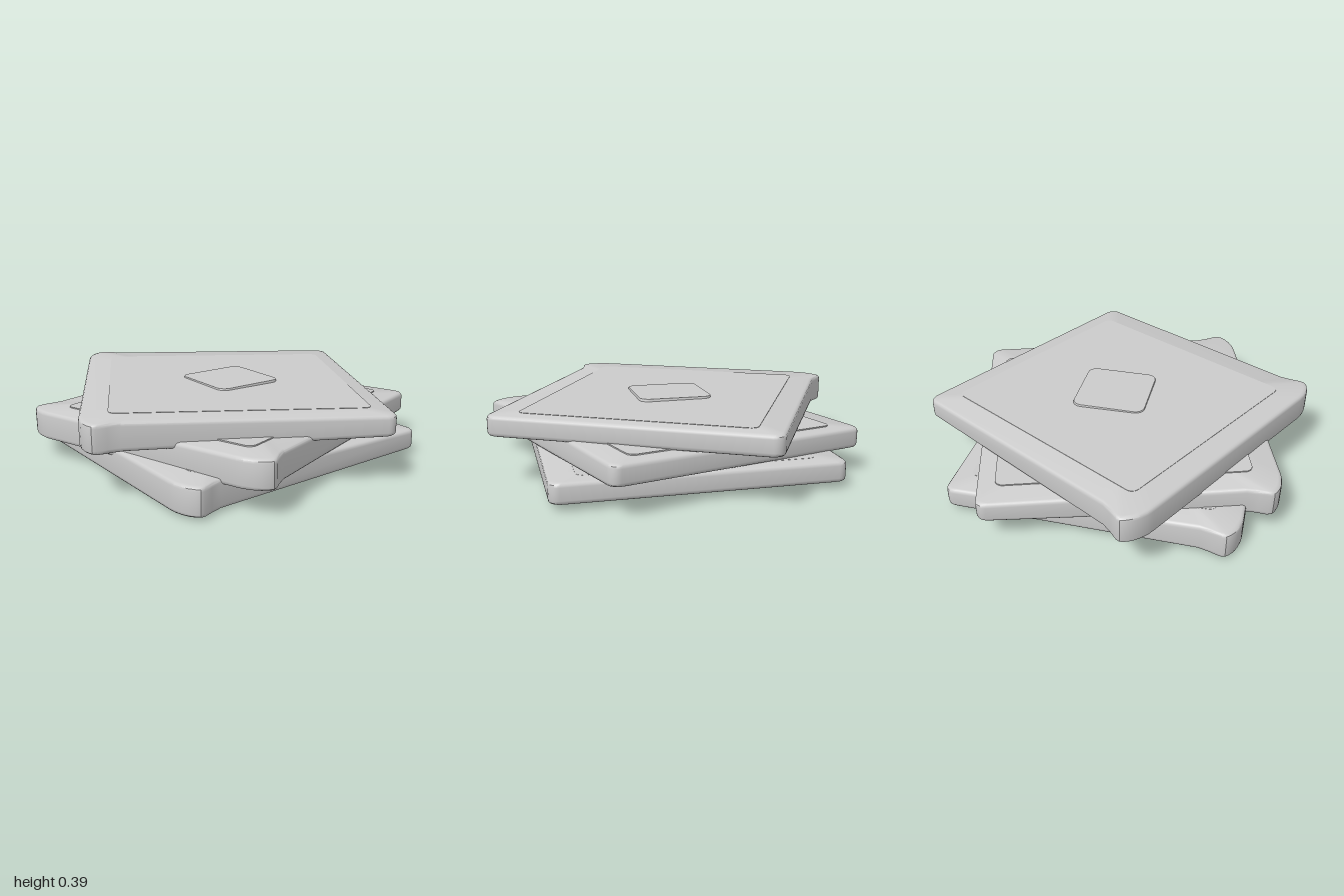
import * as THREE from 'three';
import { toCreasedNormals } from 'three/addons/utils/BufferGeometryUtils.js';

const material = new THREE.MeshStandardMaterial({ color: 0xcccccc });

// Slabs are wedges: half the thickness shrinks from left to right
const halfThickness = (x) => 0.0645 - 0.0147 * x;

// Rounded rectangle outline as [x, z] points
function roundedOutline(x0, x1, z0, z1, r, steps = 6) {
  const points = [];
  const corners = [[x1 - r, z1 - r], [x0 + r, z1 - r], [x0 + r, z0 + r], [x1 - r, z0 + r]];
  corners.forEach(([cx, cz], i) => {
    for (let k = 0; k <= steps; k++) {
      const a = (i + k / steps) * Math.PI / 2;
      points.push([cx + r * Math.cos(a), cz + r * Math.sin(a)]);
    }
  });
  return points;
}

// Slab outline: plain round corners on the right, flared ones on the left
function slabOutline() {
  const zc = 0.01;
  const flare = [[-0.57, 0.735], [-0.63, 0.75], [-0.68, 0.767], [-0.7, 0.766],
    [-0.717, 0.752], [-0.737, 0.725], [-0.752, 0.69], [-0.763, 0.645], [-0.765, 0.61]];
  const right = roundedOutline(-0.74, 0.74, -0.735, 0.735, 0.05).filter(([x]) => x > 0);
  const front = right.filter(([, z]) => z > 0);
  const back = right.filter(([, z]) => z < 0);
  const mirrored = flare.map(([x, z]) => [x, -z]).reverse();
  return [...front, ...flare, ...mirrored, ...back].map(([x, z]) => [x, z + zc]);
}

// Stack rings of one outline; each ring is [inset, height function of x]
function loft(outline, rings, name) {
  const n = outline.length;
  const positions = [];
  const index = [];
  for (const [inset, height] of rings) {
    for (const [x, z] of outline) {
      const s = 1 - inset / 0.75;
      positions.push(x * s, height(x * s), z * s);
    }
  }
  for (let r = 0; r < rings.length - 1; r++) {
    for (let i = 0; i < n; i++) {
      const a = r * n + i, b = r * n + (i + 1) % n;
      index.push(a, a + n, b, b, a + n, b + n);
    }
  }
  // Caps fan out from the middle
  const bottom = positions.length / 3;
  const last = (rings.length - 1) * n;
  positions.push(0, rings[0][1](0), 0, 0, rings[rings.length - 1][1](0), 0);
  for (let i = 0; i < n; i++) {
    const j = (i + 1) % n;
    index.push(bottom, i, j, bottom + 1, last + j, last + i);
  }
  const geometry = new THREE.BufferGeometry();
  geometry.setAttribute('position', new THREE.Float32BufferAttribute(positions, 3));
  geometry.setIndex(index);
  const mesh = new THREE.Mesh(toCreasedNormals(geometry, 0.6), material);
  mesh.name = name;
  return mesh;
}

// One tile: wedge body with softened edges and a slightly raised inner panel
function makeTile(name, panelShift) {
  const tile = new THREE.Group();
  tile.name = name;
  const profile = [[0.018, 1, 0], [0.008, 1, 0.004], [0.002, 1, 0.011], [0, 1, 0.022]];
  const rings = [
    ...profile.map(([inset, , d]) => [inset, (x) => -halfThickness(x) + d]),
    ...profile.slice().reverse().map(([inset, , d]) => [inset, (x) => halfThickness(x) - d]),
  ];
  tile.add(loft(slabOutline(), rings, name + 'Body'));

  const panel = roundedOutline(-0.63, 0.65, -0.59, 0.61, 0.04);
  tile.add(loft(panel, [
    [0, (x) => panelShift - halfThickness(x) - 0.006],
    [0, (x) => panelShift + halfThickness(x) + 0.006],
  ], name + 'Panel'));
  return tile;
}

export function createModel() {
  const model = new THREE.Group();
  model.name = 'stackedTiles';

  // name, height of centre, turn in degrees, tilt, panel offset
  const tiles = [
    ['bottomTile', 0.09, 0, 0, -0.005],
    ['middleTile', 0.201, 17.5, -0.017, 0],
    ['topTile', 0.315, -29.2, 0, -0.004],
  ];
  for (const [name, y, turn, tilt, shift] of tiles) {
    const tile = makeTile(name, shift);
    tile.rotation.order = 'YXZ';
    tile.rotation.set(tilt, THREE.MathUtils.degToRad(turn), 0);
    tile.position.y = y;
    model.add(tile);
  }

  // Small pad on the top tile
  const pad = loft(roundedOutline(-0.195, 0.195, -0.195, 0.195, 0.05), [
    [0, () => 0.36], [0, () => 0.386], [0.008, () => 0.391],
  ], 'topPad');
  pad.position.set(0.023, 0, 0.015);
  model.add(pad);
  return model;
}
